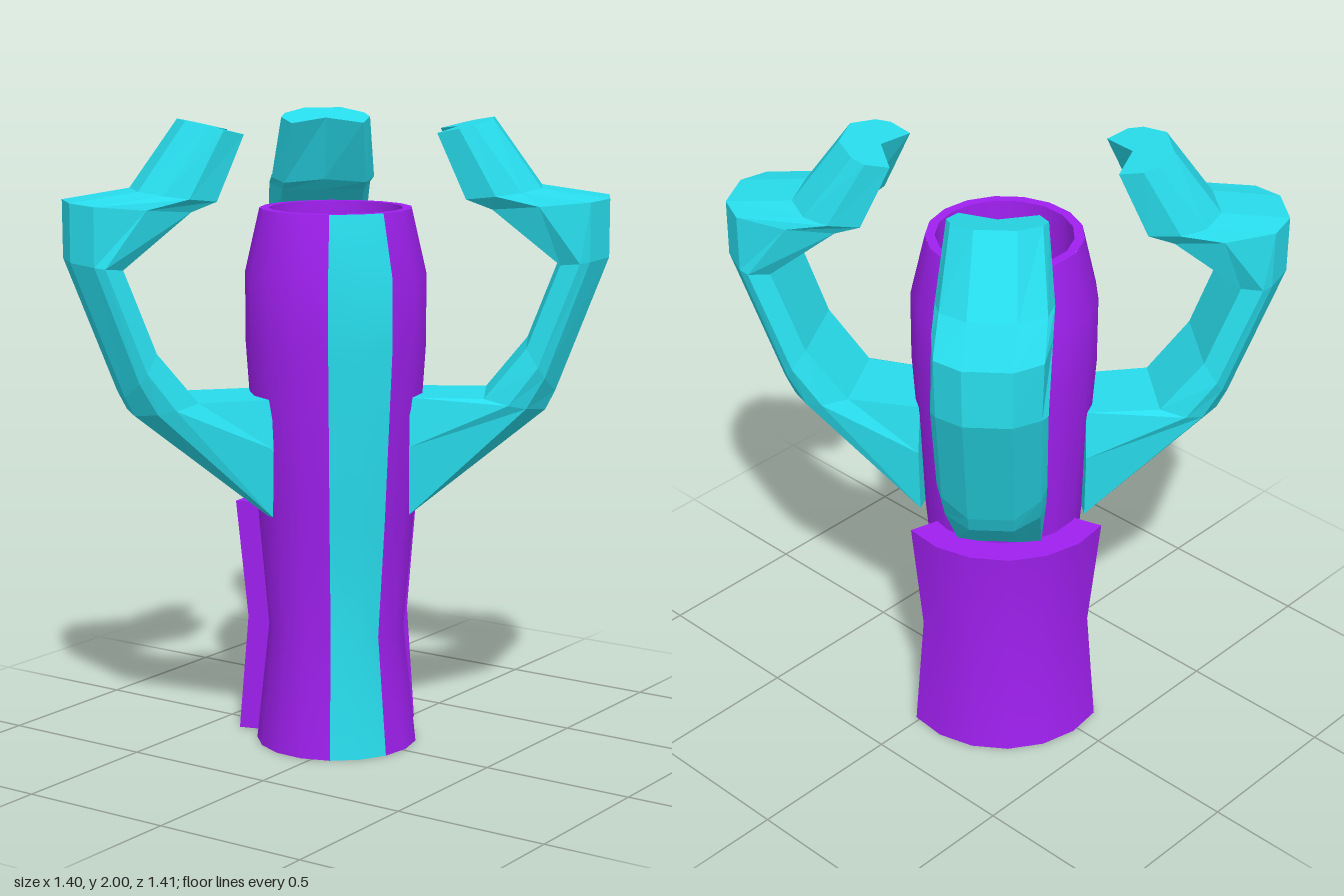
import * as THREE from 'three';
import { toCreasedNormals } from 'three/addons/utils/BufferGeometryUtils.js';

const PURPLE = 0xa020f0, CYAN = 0x28dcec;
const deg = THREE.MathUtils.degToRad;

function addMesh(parent, name, geometry, color, flatShading = false) {
  const mesh = new THREE.Mesh(geometry, new THREE.MeshStandardMaterial({ color, flatShading }));
  mesh.name = name;
  parent.add(mesh);
  return mesh;
}

// Skin over closed cross-sections, capped at both ends
function loft(rings) {
  const n = rings[0].length, pos = rings.flat(2), index = [];
  for (let i = 0; i < rings.length - 1; i++) {
    for (let j = 0; j < n; j++) {
      const k = (j + 1) % n, a = i * n + j, b = i * n + k;
      index.push(a, b, b + n, a, b + n, a + n);
    }
  }
  [0, rings.length - 1].forEach((r) => {
    const center = pos.length / 3;
    for (let c = 0; c < 3; c++) pos.push(rings[r].reduce((s, p) => s + p[c], 0) / n);
    for (let j = 0; j < n; j++) {
      const a = r * n + j, b = r * n + (j + 1) % n;
      if (r === 0) index.push(center, b, a);
      else index.push(center, a, b);
    }
  });
  const g = new THREE.BufferGeometry();
  g.setAttribute('position', new THREE.Float32BufferAttribute(pos, 3));
  g.setIndex(index);
  const flat = g.toNonIndexed();
  flat.computeVertexNormals();
  return flat;
}

// Lathe around the handle axis, smooth around but sharp at the rims
function turned(points, segments, from = 0, length = 360) {
  const profile = points.map(([x, y]) => new THREE.Vector2(x, y));
  return toCreasedNormals(new THREE.LatheGeometry(profile, segments, deg(from), deg(length)), 0.5);
}

// Claw cross-section: outer and inner point [radius, height], half width,
// depth of the bevelled outer corner, depth of the groove on the inner face
function clawRing({ o, i, w, bevel = 0.06, groove = 0 }) {
  const dx = i[0] - o[0], dy = i[1] - o[1], len = Math.hypot(dx, dy);
  const at = (d, z) => [o[0] + dx * d / len, o[1] + dy * d / len, z];
  const half = [[len, 0.8 * w], [Math.max(bevel, 0.6 * len), w], [bevel, 0.9 * w], [0, 0.42 * w]];
  return [
    at(len - groove, 0),
    ...half.map(([d, z]) => at(d, z)),
    ...half.reverse().map(([d, z]) => at(d, -z)),
  ];
}

function clawGeometry() {
  return loft([
    { o: [0.24, 0.76], i: [0.24, 1.14], w: 0.145, bevel: 0.01 },  // root
    { o: [0.66, 1.10], i: [0.47, 1.14], w: 0.155 },               // elbow
    { o: [0.69, 1.16], i: [0.60, 1.30], w: 0.16 },
    { o: [0.85, 1.58], i: [0.70, 1.56], w: 0.165 },               // knuckle
    { o: [0.85, 1.76], i: [0.49, 1.73], w: 0.17 },
    { o: [0.64, 1.79], i: [0.41, 1.76], w: 0.17, groove: 0.05 },  // neck
    { o: [0.49, 2.00], i: [0.32, 1.96], w: 0.145, groove: 0.06 }, // tip
  ].map(clawRing));
}

export function createModel() {
  const model = new THREE.Group();
  const body = new THREE.Group();
  body.name = 'clawedHandle';
  body.position.x = -0.0725;
  model.add(body);

  // Waisted handle with a coloured stripe down one side
  const wall = [[0.258, 0], [0.217, 0.38], [0.25, 0.76], [0.286, 1.3], [0.286, 1.52], [0.24, 1.72]];
  addMesh(body, 'handle', turned(wall, 15, 72, 318), PURPLE);
  addMesh(body, 'stripe', turned(wall, 2, 30, 42), CYAN);
  addMesh(body, 'handleBase', turned([[0, 0], [0.258, 0]], 17, 72), PURPLE);
  addMesh(body, 'socket', turned([[0.24, 1.72], [0.21, 1.72], [0.2, 1.3], [0, 1.3]], 17, 72), PURPLE);

  // Thick curved plate around the back of the grip
  const plate = [[0.2, 0.76], [0.342, 0.76], [0.302, 0.38], [0.335, 0], [0.2, 0]];
  const plateRings = [];
  for (let k = 0; k <= 6; k++) {
    const a = deg(-195 + 122 * k / 6);
    plateRings.push(plate.map(([r, y]) => [r * Math.sin(a), y, r * Math.cos(a)]));
  }
  addMesh(body, 'backPlate', toCreasedNormals(loft(plateRings), 0.5), PURPLE);

  // Three bent claws
  const claw = clawGeometry();
  [['frontRightClaw', 130], ['backRightClaw', 230], ['leftClaw', 330]].forEach(([name, angle]) => {
    addMesh(body, name, claw, CYAN, true).rotation.y = -deg(angle);
  });

  return model;
}
